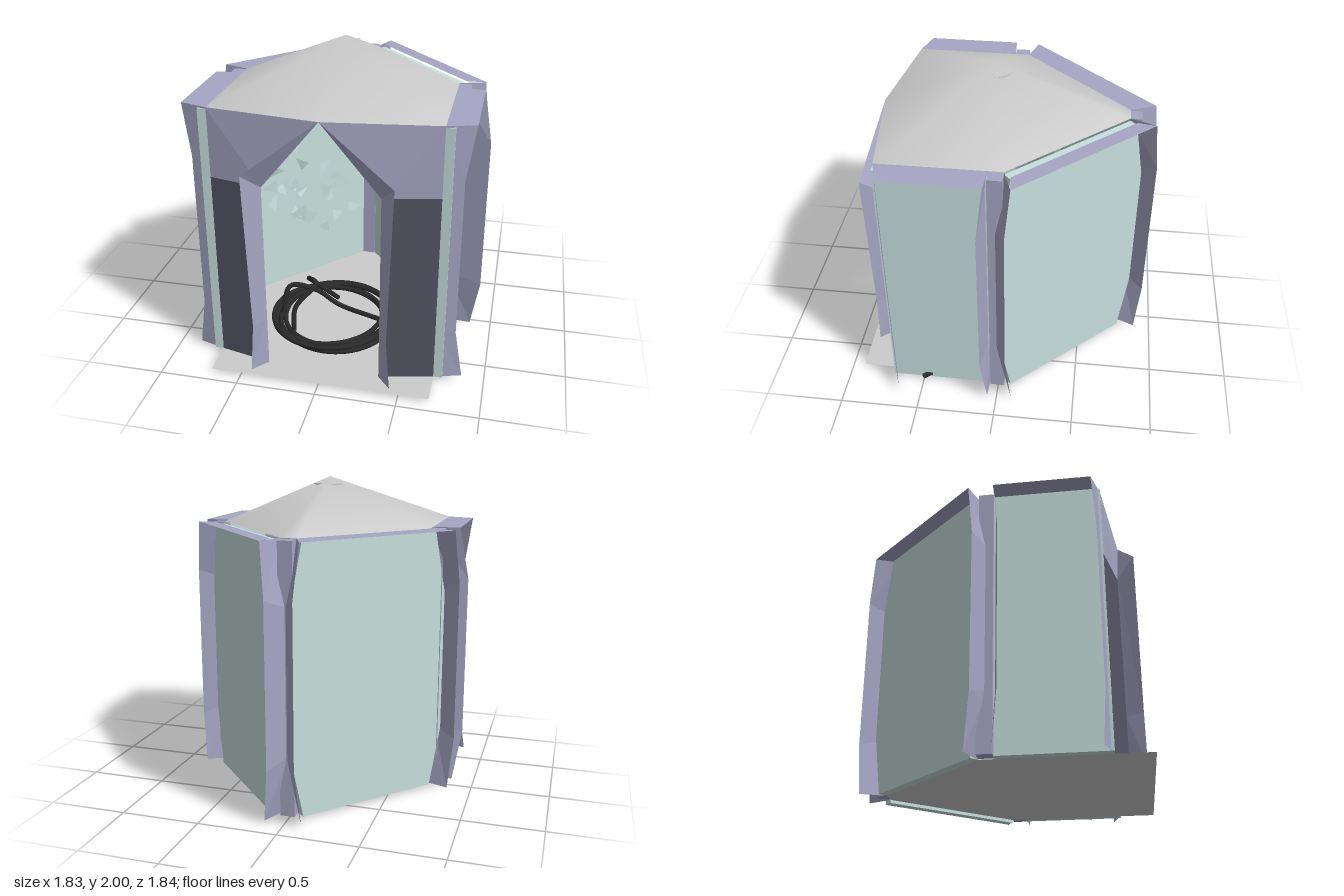
import * as THREE from 'three';

const paint = (color, flatShading = true) =>
  new THREE.MeshStandardMaterial({ color, flatShading, side: THREE.DoubleSide });
const grey = paint(0xcccccc, false);
const frameMat = paint(0xa6a6c4);
const darkMat = paint(0x565666);
const glassMat = paint(0xc8e0de);
const cableMat = paint(0x2a2a2a, false);

function add(parent, name, geometry, material) {
  const mesh = new THREE.Mesh(geometry, material);
  mesh.name = name;
  parent.add(mesh);
  return mesh;
}

// Sheet stretched between two rows of points of equal length
function sheet(rowA, rowB) {
  const pos = [];
  for (let i = 0; i + 1 < rowA.length; i++) {
    const [a, b, c, d] = [rowA[i], rowA[i + 1], rowB[i + 1], rowB[i]];
    pos.push(...a, ...b, ...c, ...a, ...c, ...d);
  }
  const g = new THREE.BufferGeometry();
  g.setAttribute('position', new THREE.Float32BufferAttribute(pos, 3));
  g.computeVertexNormals();
  return g;
}

function seeded(seed) {
  return () => (seed = (seed * 16807) % 2147483647) / 2147483647;
}

const TOP = 1.7, BASE = 0.02;

// Fin shapes: [distance past the pane's end, distance outward]
const frontFin = { top: [-0.05, 0.17], mid: [-0.03, 0.12], bulge: 0 };
const rearFin = { top: [-0.01, 0.17], mid: [-0.045, 0.225], bulge: 0 };
const backFin = { top: [0.07, 0.155], mid: [0.115, 0.155], bulge: 0.08 };

// Glazed wall from A to B (x, z), outside is local +z
function panel(name, A, B, finA, finB, { low = BASE, high = TOP - 0.01, thick = 0.055, flange = 0 } = {}) {
  const group = new THREE.Group();
  group.name = name;
  const L = Math.hypot(B[0] - A[0], B[1] - A[1]);
  group.position.set(A[0], 0, A[1]);
  group.rotation.y = Math.atan2(A[1] - B[1], B[0] - A[0]);

  // thick pane, wider in the middle
  const outline = [[0, low], [L, low], [L + finB.bulge, 0.4], [L + finB.bulge, 1.3],
    [L, high], [0, high], [-finA.bulge, 1.3], [-finA.bulge, 0.4]];
  const shape = new THREE.Shape(outline.map(p => new THREE.Vector2(...p)));
  add(group, 'pane', new THREE.ExtrudeGeometry(shape, { depth: thick, bevelEnabled: false }), glassMat);

  // bent fins at both ends
  for (const [fin, end, dir] of [[finA, 0, -1], [finB, L, 1]]) {
    const at = (t, y, w) => [end + dir * t, y, w];
    const [tt, tw] = fin.top, [mt, mw] = fin.mid;
    const inner = [at(0, TOP, 0), at(fin.bulge, 1.31, 0), at(fin.bulge, 0.4, 0), at(0, BASE, 0)];
    const outer = [at(tt, TOP, tw), at(mt, 1.37, mw), at(mt, 0.35, mw), at(tt, BASE, tw)];
    add(group, 'fin', sheet(inner, outer), frameMat);
  }

  // flat canopy along the top
  add(group, 'topFlange', sheet(
    [[-finA.top[0], TOP, finA.top[1]], [L + finB.top[0], TOP, finB.top[1]]],
    [[0, TOP, flange], [L, TOP, flange]]), frameMat);
  return group;
}

// Half of the gabled entrance wall, s is the side
function entrance(s) {
  const group = new THREE.Group();
  group.name = s > 0 ? 'entranceLeft' : 'entranceRight';
  const m = (x, y, z) => [s * x, y, z];
  const peak = m(0, TOP, 0.79), jamb = m(0.355, 1.26, 0.775), foot = m(0.355, BASE, 0.775);
  const edge = m(0.69, 1.26, 0.7);
  add(group, 'upperWall', sheet([m(0.69, TOP, 0.7), peak], [edge, jamb]), frameMat);
  add(group, 'lowerWall', sheet([edge, jamb], [m(0.69, BASE, 0.7), foot]), darkMat);
  add(group, 'doorFin', sheet(
    [peak, jamb, m(0.355, 0.35, 0.775), foot],
    [peak, m(0.445, 1.37, 0.88), m(0.415, 0.35, 0.875), m(0.44, BASE, 0.875)]), frameMat);
  return group;
}

export function createModel() {
  const model = new THREE.Group();
  model.name = 'kiosk';

  // Floor
  const floorPts = [[-0.69, 0.92], [0.69, 0.92], [0.69, -0.04], [0.05, -0.73], [-0.05, -0.73], [-0.69, -0.04]];
  const floorShape = new THREE.Shape(floorPts.map(([x, z]) => new THREE.Vector2(x, -z)));
  const floor = add(model, 'floor', new THREE.ShapeGeometry(floorShape), grey);
  floor.rotation.x = -Math.PI / 2;
  floor.position.y = BASE;

  // Roof pyramid with a soft ridge
  const eaves = [[0, 0.79], [0.69, 0.7], [0.69, -0.04], [0.05, -0.73], [-0.05, -0.73], [-0.69, -0.04], [-0.69, 0.7]];
  const roof = new THREE.BufferGeometry();
  roof.setAttribute('position', new THREE.Float32BufferAttribute(
    [0, 2, 0.09, ...eaves.flatMap(([x, z]) => [x, TOP, z])], 3));
  roof.setIndex(eaves.flatMap((_, i) => [0, i + 1, (i + 1) % eaves.length + 1]));
  roof.computeVertexNormals();
  add(model, 'roof', roof, grey);
  add(model, 'roofDisc', new THREE.CylinderGeometry(0.1, 0.1, 0.01, 24), grey).position.set(0, 1.952, 0.09);

  // Glazed walls, the left back pane being a loose, lower sheet
  const back = panel('backRight', [-0.05, -0.73], [-0.69, -0.04], backFin, backFin);
  model.add(
    panel('sideLeft', [0.69, 0.7], [0.69, 0.05], frontFin, rearFin),
    panel('sideRight', [-0.69, 0.05], [-0.69, 0.7], rearFin, frontFin),
    panel('backLeft', [0.69, -0.04], [0.05, -0.73], backFin, backFin,
      { low: 0, high: 1.685, thick: 0.06, flange: 0.06 }),
    back, entrance(1), entrance(-1));

  // Splinters on the inside of the broken pane
  const rnd = seeded(77);
  for (let i = 0; i < 26; i++) {
    const cx = 0.12 + rnd() * 0.7, cy = 0.35 + rnd() * 0.9, turn = rnd() * 6.3;
    const tri = [0, 1, 2].map(k => {
      const a = turn + k * 2.1, r = 0.03 + rnd() * 0.07;
      return [cx + r * Math.cos(a), cy + r * Math.sin(a), -0.005 - rnd() * 0.04];
    });
    add(back, 'splinter', sheet([tri[0], tri[1]], [tri[2], tri[2]]), glassMat);
  }

  // Corner posts
  for (const [x, z, w, d] of [[0.73, 0.005, 0.08, 0.09], [-0.73, 0.005, 0.08, 0.09], [0, -0.765, 0.09, 0.07]]) {
    add(model, 'cornerPost', new THREE.BoxGeometry(w, TOP - BASE - 0.01, d), frameMat)
      .position.set(x, (TOP + BASE) / 2, z);
  }

  // Coiled cable on the floor with a tail leaving through the left wall
  const coil = [];
  for (let i = 0; i <= 100; i++) {
    const a = i / 20 * Math.PI * 2;
    const r = 0.37 + 0.04 * Math.sin(i * 0.23);
    coil.push(new THREE.Vector3(-0.06 + r * Math.cos(a), 0.04 + 0.015 * (1 + Math.sin(i * 0.37)), 0.22 + r * Math.sin(a)));
  }
  coil.push(new THREE.Vector3(0.5, 0.04, 0.38), new THREE.Vector3(0.7, 0.045, 0.42), new THREE.Vector3(0.77, 0.04, 0.5));
  const tube = (pts, n) => new THREE.TubeGeometry(new THREE.CatmullRomCurve3(pts), n, 0.017, 7);
  add(model, 'cableCoil', tube(coil, 420), cableMat);

  // Loose loops rising from the coil
  const loops = [
    [[-0.4, 0.05, 0.3], [-0.36, 0.26, 0.24], [-0.2, 0.2, 0.16], [-0.05, 0.06, 0.1], [0.25, 0.05, 0.2]],
    [[-0.28, 0.05, 0.45], [-0.28, 0.2, 0.4], [-0.17, 0.32, 0.28], [-0.25, 0.28, 0.15], [-0.08, 0.05, 0.0]],
  ];
  for (const loop of loops) {
    add(model, 'cableLoop', tube(loop.map(p => new THREE.Vector3(...p)), 48), cableMat);
  }
  return model;
}
